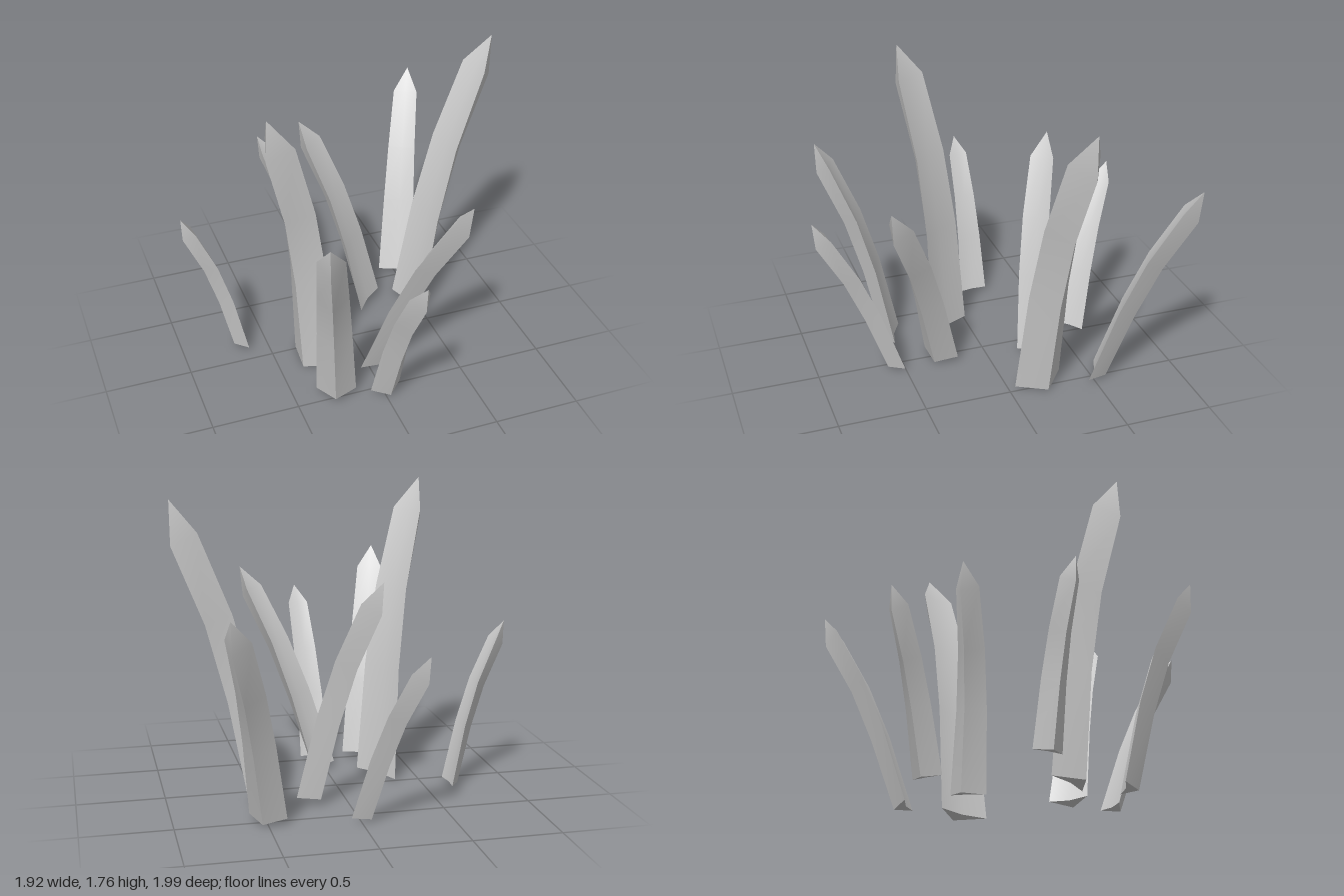
import * as THREE from 'three';
import { toCreasedNormals } from 'three/addons/utils/BufferGeometryUtils.js';

// One entry per blade: base edge a -> b as x, z (outward is to its front), base height, tip x, y, z
const BLADES = [
  { a: [0.058, -0.627], b: [-0.079, -0.51], y: 0.03, tip: [-0.29, 0.97, -0.9] },
  { a: [0.587, -0.447], b: [0.397, -0.558], y: 0.035, tip: [0.746, 1.22, -0.997] },
  { a: [0.3, -0.325], b: [0.132, -0.177], y: 0.045, tip: [-0.159, 1.28, -0.452] },
  { a: [0.47, -0.04], b: [0.402, -0.336], y: 0.012, tip: [0.958, 1.73, -0.27] },
  { a: [-0.635, -0.24], b: [-0.624, -0.071], y: 0.025, tip: [-0.958, 0.97, -0.14] },
  { a: [-0.354, -0.008], b: [-0.185, 0.251], y: 0.01, tip: [-0.571, 1.76, 0.32] },
  { a: [-0.063, 0.341], b: [0.095, 0.183], y: 0.03, tip: [0.455, 1.21, 0.648] },
  { a: [-0.365, 0.42], b: [-0.153, 0.5], y: 0.035, tip: [-0.423, 1.28, 0.86] },
  { a: [-0.074, 0.532], b: [0.111, 0.51], y: 0.02, tip: [0.053, 1.02, 0.992] },
];

// Cross-sections up the blade: height, outward bend, width, keel droop
const RINGS = [
  { t: 0, bend: 0, width: 1, droop: 0.01 },
  { t: 0.375, bend: 0.23, width: 0.86, droop: 0.035 },
  { t: 0.64, bend: 0.46, width: 0.76, droop: 0.04 },
  { t: 0.9, bend: 0.79, width: 0.66, droop: 0.045 },
];

function bladeGeometry({ a, b, y, tip }) {
  const A = new THREE.Vector2(...a), B = new THREE.Vector2(...b);
  const mid = A.clone().add(B).multiplyScalar(0.5);
  const w = A.distanceTo(B), h = tip[1] - y;
  const side = B.clone().sub(A).divideScalar(w);
  const out = new THREE.Vector2(-side.y, side.x);
  const bend = out.clone().multiplyScalar(0.34 * tip[1]);
  // What the bend does not explain is a straight lean
  const lean = new THREE.Vector2(tip[0], tip[2]).sub(mid).sub(bend);

  const positions = [], index = [];
  for (const r of RINGS) {
    const centre = mid.clone().addScaledVector(bend, r.bend).addScaledVector(lean, r.t);
    // left edge, outer keel, right edge, shallow inner groove
    const section = [[-0.5 * r.width, 0], [0, 0.38], [0.5 * r.width, 0], [0, 0.07 * r.width]];
    for (const [s, d] of section) {
      const off = side.clone().multiplyScalar(s * w).addScaledVector(out, d * w);
      const drop = off.dot(lean) / h + (d / 0.38) * r.droop * tip[1];
      positions.push(centre.x + off.x, y + r.t * h - drop, centre.y + off.y);
    }
  }
  positions.push(...tip);

  const last = RINGS.length - 1, apex = RINGS.length * 4;
  for (let k = 0; k < 4; k++) {
    const n = (k + 1) % 4;
    for (let i = 0; i < last; i++) {
      const p = i * 4 + k, q = i * 4 + n;
      index.push(p, q, q + 4, p, q + 4, p + 4);
    }
    index.push(last * 4 + k, last * 4 + n, apex);
  }
  index.push(0, 3, 1, 3, 2, 1); // base cap

  const geometry = new THREE.BufferGeometry();
  geometry.setAttribute('position', new THREE.Float32BufferAttribute(positions, 3));
  geometry.setIndex(index);
  return toCreasedNormals(geometry, 0.5);
}

export function createModel() {
  const group = new THREE.Group();
  group.name = 'grassTuft';
  const material = new THREE.MeshStandardMaterial({ color: 0xcccccc });
  BLADES.forEach((blade, i) => {
    const mesh = new THREE.Mesh(bladeGeometry(blade), material);
    mesh.name = `grassBlade${i + 1}`;
    group.add(mesh);
  });
  return group;
}
